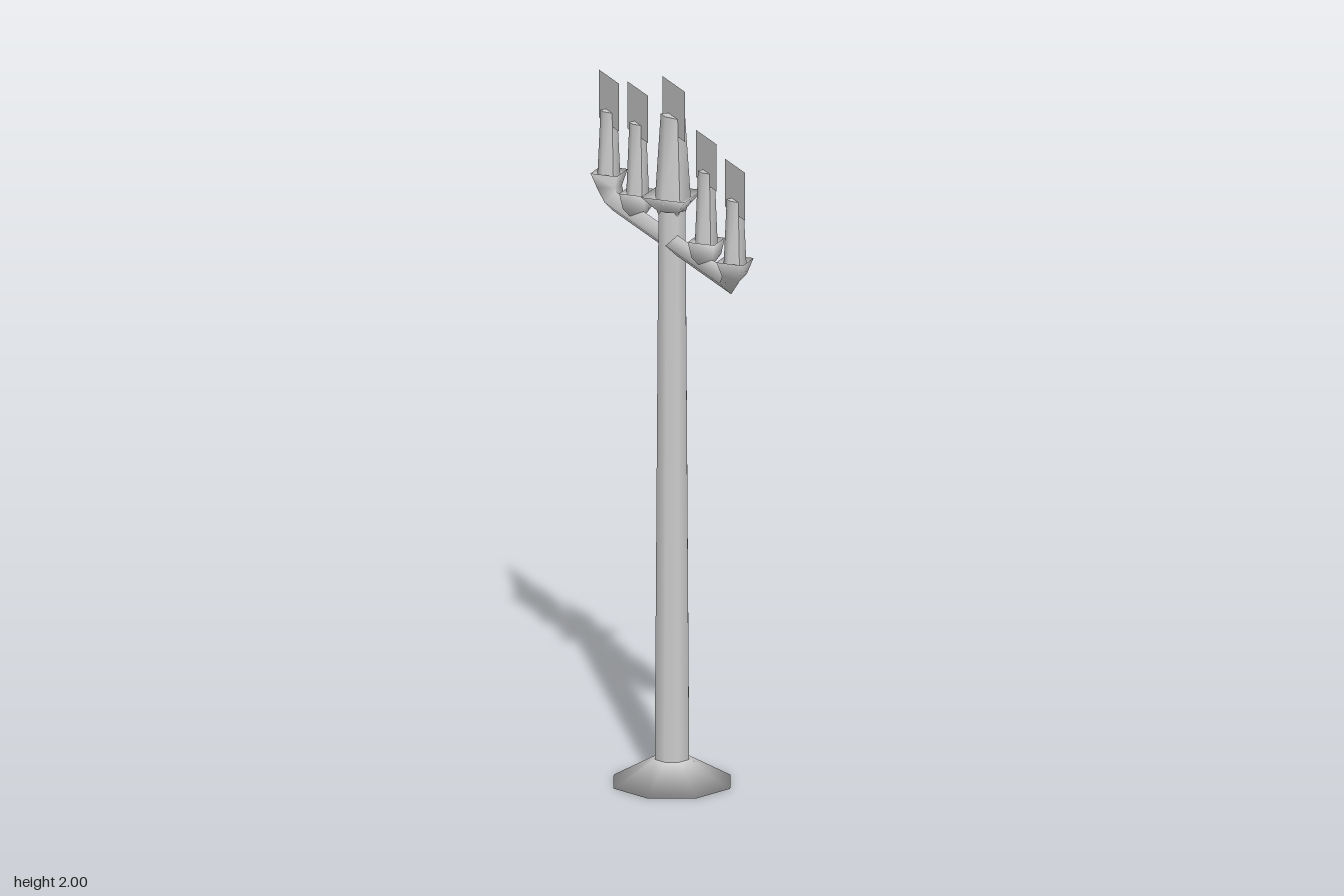
import * as THREE from 'three';

const metal = new THREE.MeshStandardMaterial({ color: 0xcccccc, side: THREE.DoubleSide });
metal.name = 'pale grey';

function add(parent, name, geometry, x = 0, y = 0, z = 0) {
  const mesh = new THREE.Mesh(geometry, metal);
  mesh.name = name;
  mesh.position.set(x, y, z);
  parent.add(mesh);
  return mesh;
}

// Turned shape from [radius, height] pairs
const turned = (points, sides) =>
  new THREE.LatheGeometry(points.map(([r, y]) => new THREE.Vector2(r, y)), sides);

// Diamond-section sweep; each ring is [y, z, half width, along-y, along-z]
function sweep(rings) {
  const pos = [], index = [];
  for (const [y, z, r, dy, dz] of rings) {
    pos.push(r, y, z, 0, y + dy, z + dz, -r, y, z, 0, y - dy, z - dz);
  }
  for (let i = 0; i < rings.length - 1; i++) {
    for (let j = 0; j < 4; j++) {
      const a = i * 4 + j, b = i * 4 + (j + 1) % 4;
      index.push(a, b, a + 4, b, b + 4, a + 4);
    }
  }
  const g = new THREE.BufferGeometry();
  g.setAttribute('position', new THREE.Float32BufferAttribute(pos, 3));
  g.setIndex(index);
  g.computeVertexNormals();
  return g;
}

// Tapered candle with a slightly slanted top
function candle(rTop, rBottom, height, slant) {
  const g = new THREE.CylinderGeometry(rTop, rBottom, height, 6);
  g.translate(0, height / 2, 0);
  const p = g.attributes.position;
  for (let i = 0; i < p.count; i++) {
    if (p.getY(i) > height / 2) p.setY(i, p.getY(i) - p.getX(i) * slant);
  }
  g.computeVertexNormals();
  return g;
}

// Thin upright flame card facing sideways
function flame(parent, y, z, width, height) {
  add(parent, 'flame', new THREE.PlaneGeometry(width, height), 0, y, z).rotation.y = Math.PI / 2;
}

export function createModel() {
  const group = new THREE.Group();

  // Flared foot and tall post
  add(group, 'foot', turned([[0, 0], [0.173, 0], [0.05, 0.07]], 8));
  add(group, 'post', turned([[0.051, 0.065], [0.04, 1.64]], 8));

  // Centre cup, candle and flame
  add(group, 'centreCup', turned([[0.038, 1.62], [0.045, 1.64], [0.092, 1.683], [0.04, 1.665]], 4));
  add(group, 'centreCandle', candle(0.034, 0.05, 0.242, 0.2), 0, 1.665, 0.007);
  flame(group, 1.929, 0.012, 0.162, 0.143);

  // Cross arm, bent upward into a cup at both ends
  const half = [
    [1.545, 0.415, 0.03, 0.03, -0.013],
    [1.577, 0.452, 0.037, 0.006, -0.038],
    [1.62, 0.455, 0.055, 0, -0.056],
    [1.605, 0.455, 0.03, 0, -0.03],
  ];
  const mirrored = half.map(([y, z, r, dy, dz]) => [y, -z, r, dy, -dz]).reverse();
  add(group, 'crossArm', sweep([...mirrored, ...half]));

  // Side candles
  for (const side of [1, -1]) {
    const inner = 0.248 * side, outer = 0.456 * side;
    add(group, 'innerCup', turned([[0.022, 1.55], [0.044, 1.575], [0.055, 1.62], [0.03, 1.605]], 4), 0, 0, inner);
    add(group, 'innerCandle', candle(0.023, 0.032, 0.215, 0.15), 0, 1.6, inner);
    add(group, 'outerCandle', candle(0.023, 0.032, 0.192, 0.15), 0, 1.6, outer);
    flame(group, 1.847, inner, 0.15, 0.135);
    flame(group, 1.822, outer, 0.146, 0.137);
  }
  return group;
}
